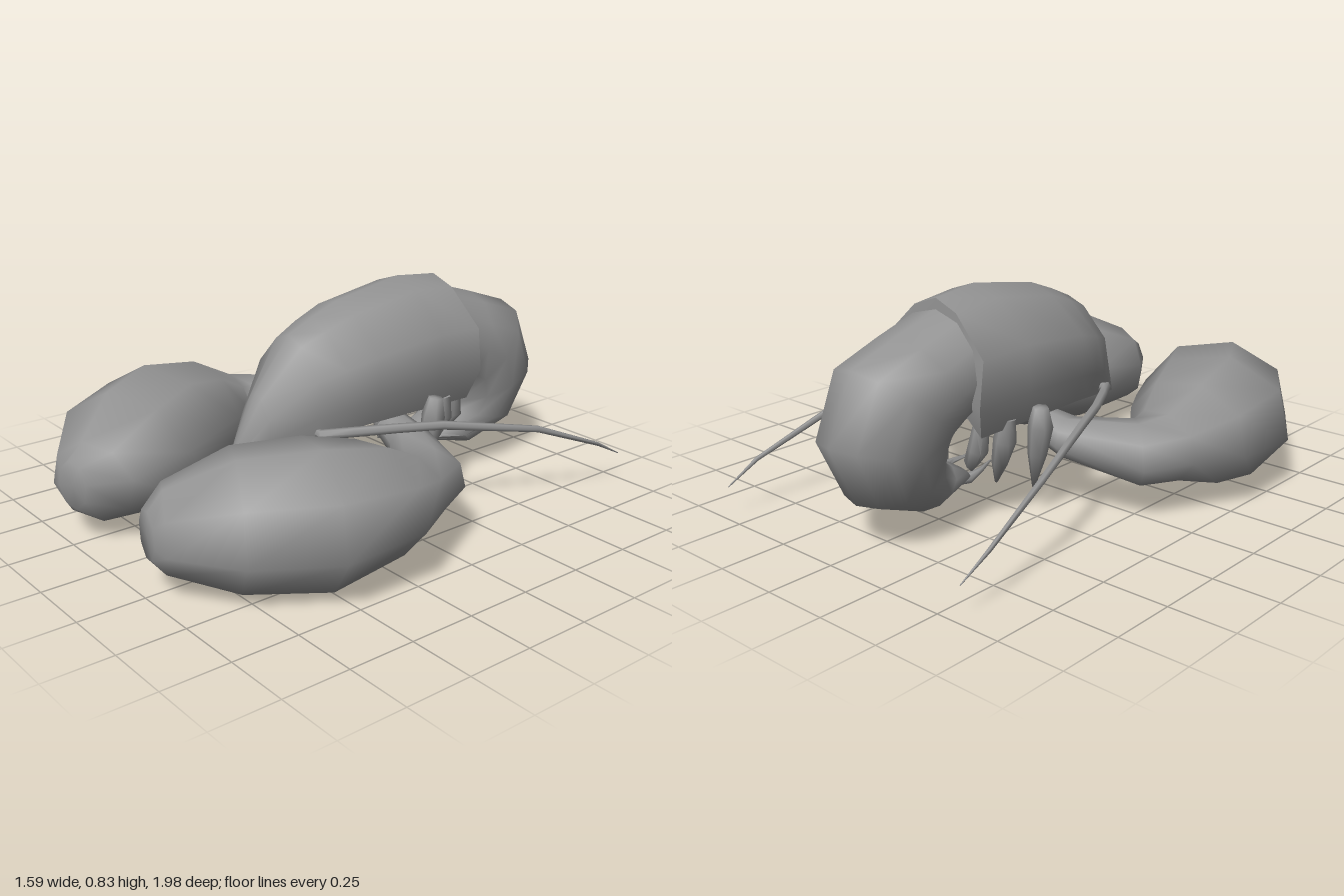
import * as THREE from 'three';
import { toCreasedNormals } from 'three/addons/utils/BufferGeometryUtils.js';

const V = (x, y, z) => new THREE.Vector3(x, y, z);
const material = new THREE.MeshStandardMaterial({ color: 0x949494 });

// Closed skin over a list of rings, capped at both ends, always facing outward
function loft(name, rings, crease = 1.4) {
  const n = rings[0].length, pos = [], idx = [];
  rings.forEach(r => r.forEach(p => pos.push(p.x, p.y, p.z)));
  for (let i = 0; i < rings.length - 1; i++) {
    for (let j = 0; j < n; j++) {
      const a = i * n + j, b = i * n + (j + 1) % n;
      idx.push(a, b, a + n, b, b + n, a + n);
    }
  }
  [0, rings.length - 1].forEach(k => {
    const c = rings[k].reduce((s, p) => s.add(p), V(0, 0, 0)).divideScalar(n);
    const ci = pos.length / 3;
    pos.push(c.x, c.y, c.z);
    for (let j = 0; j < n; j++) {
      const a = k * n + j, b = k * n + (j + 1) % n;
      if (k === 0) idx.push(ci, b, a); else idx.push(ci, a, b);
    }
  });
  // Reverse the faces when the enclosed volume is negative
  const at = i => V(pos[3 * i], pos[3 * i + 1], pos[3 * i + 2]);
  let volume = 0;
  for (let i = 0; i < idx.length; i += 3) {
    volume += at(idx[i]).dot(at(idx[i + 1]).cross(at(idx[i + 2])));
  }
  if (volume < 0) idx.reverse();
  const g = new THREE.BufferGeometry();
  g.setAttribute('position', new THREE.Float32BufferAttribute(pos, 3));
  g.setIndex(idx);
  const mesh = new THREE.Mesh(toCreasedNormals(g, crease), material);
  mesh.name = name;
  return mesh;
}

// Elliptic ring around a centre, spanned by two half axes
function ring(c, u, v, sides, phase = 0) {
  return Array.from({ length: sides }, (_, i) => {
    const a = i / sides * Math.PI * 2 + phase;
    return c.clone().addScaledVector(u, Math.cos(a)).addScaledVector(v, Math.sin(a));
  });
}

// Tapering limb: points are [x, y, z, radius]
function limb(name, points, s) {
  const p = points.map(q => V(q[0] * s, q[1], q[2]));
  return loft(name, p.map((c, i) => {
    const t = p[Math.min(i + 1, p.length - 1)].clone().sub(p[Math.max(i - 1, 0)]).normalize();
    const u = t.clone().cross(Math.abs(t.y) > 0.7 ? V(1, 0, 0) : V(0, 1, 0)).normalize();
    return ring(c, u.clone().multiplyScalar(points[i][3]), t.cross(u).multiplyScalar(points[i][3]), 6);
  }));
}

export function createModel() {
  const model = new THREE.Group();
  model.name = 'lobster';

  // Back shell: [z, top, rim, half width], drawn to a pointed beak
  const shell = [
    [-0.49, 0.82, 0.36, 0.24], [-0.3, 0.84, 0.37, 0.26], [0, 0.79, 0.37, 0.25],
    [0.12, 0.745, 0.355, 0.22], [0.22, 0.7, 0.335, 0.18], [0.37, 0.51, 0.285, 0.08],
    [0.5, 0.26, 0.25, 0.004],
  ];
  // Half profile [width, height, z shift at the rear]; the last point is the recessed belly
  const half = [[0.42, 0.92, -0.005], [1, 0.62, -0.02], [1, 0.25, -0.04], [0.86, 0, 0], [0.72, 0.12, 0]];
  model.add(loft('carapace', shell.map(([z, top, rim, w], i) => {
    const pts = half.map(([a, b, d]) => V(a * w, rim + b * (top - rim), z + (i ? 0 : d)));
    const mirrored = pts.map(p => V(-p.x, p.y, p.z)).reverse();
    return [V(0, top, z), ...pts, ...mirrored];
  }), 1));

  // Curled tail: [outer z, outer y, inner z, inner y, half width]
  const tail = [
    [-0.46, 0.79, -0.46, 0.38, 0.215], [-0.68, 0.72, -0.5, 0.35, 0.22],
    [-0.88, 0.65, -0.52, 0.32, 0.22], [-0.985, 0.41, -0.52, 0.29, 0.205],
    [-0.88, 0.18, -0.52, 0.26, 0.175], [-0.65, 0.09, -0.48, 0.23, 0.135],
    [-0.42, 0.145, -0.43, 0.2, 0.09],
  ];
  model.add(loft('tail', tail.map(([oz, oy, iz, iy, w]) =>
    ring(V(0, (oy + iy) / 2, (oz + iz) / 2), V(w, 0, 0), V(0, (oy - iy) / 2, (oz - iz) / 2), 12))));

  // Claw and arm: [outer x, outer z, inner x, inner z, low y, high y]
  const claw = [
    [0.17, -0.21, 0.17, -0.06, 0.26, 0.38], [0.3, -0.21, 0.28, -0.03, 0.21, 0.36],
    [0.61, -0.1, 0.4, 0.1, 0.13, 0.365], [0.7, 0.08, 0.37, 0.13, 0.12, 0.38],
    [0.8, 0.26, 0.29, 0.24, 0.065, 0.46], [0.79, 0.58, 0.21, 0.38, 0, 0.505],
    [0.62, 0.85, 0.11, 0.58, 0.015, 0.485], [0.39, 0.995, 0.09, 0.83, 0.08, 0.38],
    [0.33, 1, 0.18, 0.97, 0.14, 0.32],
  ];
  // Legs and swimmerets as tapering limbs
  const legs = {
    FrontLeg: [[0.275, 0.43, -0.26, 0.028], [0.27, 0.36, -0.255, 0.046], [0.25, 0.25, -0.25, 0.036], [0.22, 0.11, -0.235, 0.006]],
    MiddleLeg: [[0.21, 0.4, -0.36, 0.03], [0.2, 0.32, -0.365, 0.042], [0.16, 0.22, -0.35, 0.03], [0.12, 0.13, -0.325, 0.006]],
    RearLeg: [[0.17, 0.39, -0.45, 0.03], [0.16, 0.3, -0.46, 0.038], [0.12, 0.24, -0.45, 0.028], [0.08, 0.19, -0.41, 0.006]],
    Swimmeret: [[0.05, 0.155, -0.46, 0.018], [0.075, 0.16, -0.42, 0.02], [0.07, 0.17, -0.35, 0.01], [0.05, 0.18, -0.28, 0.004]],
  };
  const antenna = [
    [0.12, 0.36, 0.2, 0.016], [0.19, 0.37, 0.22, 0.02], [0.25, 0.375, 0.12, 0.019],
    [0.33, 0.38, -0.02, 0.018], [0.4, 0.375, -0.18, 0.017], [0.53, 0.31, -0.55, 0.013],
    [0.58, 0.19, -0.85, 0.008], [0.58, 0.12, -0.98, 0.002],
  ];

  // Paired parts, mirrored left (+x) and right
  for (const [side, s] of [['left', 1], ['right', -1]]) {
    model.add(loft(side + 'Claw', claw.map(([ox, oz, ix, iz, lo, hi]) =>
      ring(V(s * (ox + ix) / 2, (lo + hi) / 2, (oz + iz) / 2),
        V(s * (ox - ix) / 2, 0, (oz - iz) / 2), V(0, (hi - lo) / 2, 0), 8, -0.21))));
    for (const [name, points] of Object.entries(legs)) model.add(limb(side + name, points, s));
    model.add(limb(side + 'Antenna', antenna, s));
  }
  return model;
}
